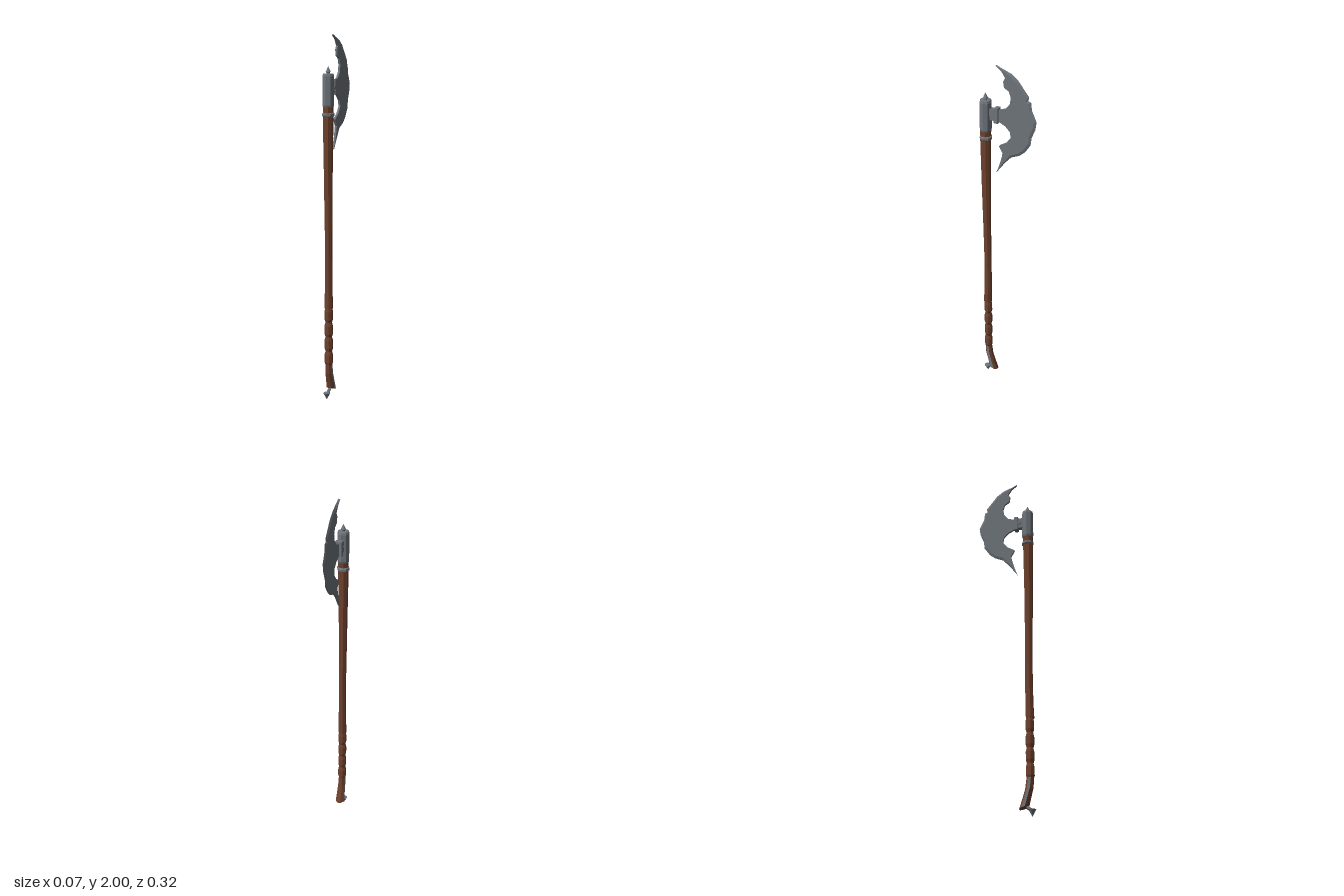
import * as THREE from 'three';

const metal = new THREE.MeshStandardMaterial({ color: 0x6e747b, flatShading: true });
metal.name = 'steel';
const wood = new THREE.MeshStandardMaterial({ color: 0x6e412d, flatShading: true });
wood.name = 'wood';
const AXIS = 0.128; // z of the shaft

function add(parent, name, geometry, material, x = 0, y = 0, z = 0) {
  const mesh = new THREE.Mesh(geometry, material);
  mesh.name = name;
  mesh.position.set(x, y, z);
  parent.add(mesh);
  return mesh;
}

// Closed eight-sided loft through rings [y, z, radiusX, radiusZ, slant], bottom to top.
// Faces looking sideways (+x and -x) go in material group 1, the rest in group 0.
function loft(rings) {
  const N = 8, main = [], sides = [];
  const point = ([y, z, rx, rz, slant = 0], i) => {
    const a = ((i + 0.5) / N) * Math.PI * 2;
    const dz = Math.sin(a) * rz * 1.08;
    return [Math.cos(a) * rx * 1.08, y + dz * slant, z + dz];
  };
  for (let r = 0; r < rings.length - 1; r++) {
    for (let i = 0; i < N; i++) {
      const a = point(rings[r], i), b = point(rings[r], i + 1);
      const c = point(rings[r + 1], i + 1), d = point(rings[r + 1], i);
      (i === 3 || i === 7 ? sides : main).push(...a, ...d, ...c, ...a, ...c, ...b);
    }
  }
  const first = rings[0], last = rings[rings.length - 1];
  for (let i = 0; i < N; i++) {
    main.push(0, first[0], first[1], ...point(first, i), ...point(first, i + 1));
    main.push(0, last[0], last[1], ...point(last, i + 1), ...point(last, i));
  }
  const g = new THREE.BufferGeometry();
  g.setAttribute('position', new THREE.Float32BufferAttribute([...main, ...sides], 3));
  g.addGroup(0, main.length / 3, 0);
  g.addGroup(main.length / 3, sides.length / 3, 1);
  g.computeVertexNormals();
  return g;
}

// Turned eight-sided piece from [radius, y] pairs
function turned(profile) {
  return new THREE.LatheGeometry(profile.map(([r, y]) => new THREE.Vector2(r, y)), 8);
}

function buildHandle(root) {
  const handle = new THREE.Group();
  handle.name = 'handle';
  root.add(handle);

  // Long, slightly bowed shaft
  add(handle, 'shaft', loft([
    [0.53, 0.130, 0.022, 0.021], [0.62, 0.127, 0.020, 0.020], [0.85, 0.126, 0.018, 0.019],
    [1.05, 0.128, 0.020, 0.020], [1.30, 0.130, 0.022, 0.023], [1.58, 0.130, 0.026, 0.027],
    [1.64, 0.129, 0.026, 0.027],
  ]), [wood, wood]);

  // Grip with four swellings
  const grip = [];
  for (let i = 0; i < 4; i++) {
    const y = 0.2 + i * 0.083;
    grip.push([y, AXIS, 0.017, 0.016], [y + 0.018, AXIS, 0.022, 0.021], [y + 0.062, AXIS, 0.022, 0.021]);
  }
  grip.push([0.532, AXIS, 0.018, 0.017]);
  add(handle, 'grip', loft(grip), [wood, wood]);

  // Bent foot with steel cheeks on both sides
  add(handle, 'foot', loft([
    [0.052, 0.094, 0.024, 0.025, 0.35], [0.10, 0.108, 0.022, 0.022, 0.3],
    [0.15, 0.122, 0.020, 0.020, 0.15], [0.21, AXIS, 0.018, 0.018],
  ]), [wood, metal]);

  // Small spike under the foot
  const spike = add(handle, 'footSpike', new THREE.ConeGeometry(0.02, 0.038, 8), metal, -0.008, 0.019, 0.139);
  spike.rotation.x = Math.PI;
  const stem = add(handle, 'spikeStem', new THREE.CylinderGeometry(0.009, 0.009, 0.035, 6), metal, -0.004, 0.043, 0.124);
  stem.rotation.x = -0.95;
}

function buildSocket(root) {
  const socket = new THREE.Group();
  socket.name = 'socket';
  socket.position.z = AXIS;
  root.add(socket);
  add(socket, 'sleeve', turned([[0, 1.63], [0.030, 1.63], [0.033, 1.64], [0.033, 1.79], [0.029, 1.802], [0, 1.804]]), metal);
  add(socket, 'topSpike', turned([[0.009, 1.80], [0.009, 1.808], [0.014, 1.812], [0, 1.842]]), metal);
  add(socket, 'collarRing', turned([[0.026, 1.578], [0.034, 1.584], [0.034, 1.596], [0.026, 1.603]]), metal);

  // Mount joining the sleeve to the blade
  add(socket, 'mountNeck', new THREE.BoxGeometry(0.026, 0.062, 0.045), metal, 0, 1.73, -0.040);
  add(socket, 'mountBlock', new THREE.BoxGeometry(0.036, 0.082, 0.022), metal, 0, 1.73, -0.066);
  for (const s of [-1, 1]) {
    const rivet = add(socket, 'mountRivet', new THREE.CylinderGeometry(0.009, 0.009, 0.008, 8), metal, s * 0.015, 1.73, -0.047);
    rivet.rotation.z = Math.PI / 2;
  }
}

function buildBlade(root) {
  const blade = new THREE.Group();
  blade.name = 'blade';
  blade.rotation.y = Math.PI / 2; // outline x runs towards the back
  root.add(blade);
  const T = 0.006; // half thickness

  // Cutting edge, upper horn to lower horn
  const outer = [
    [-0.066, 2.0], [-0.024, 1.987], [0.019, 1.971], [0.056, 1.944], [0.098, 1.891], [0.119, 1.865],
    [0.114, 1.844], [0.130, 1.838], [0.135, 1.796], [0.162, 1.737], [0.156, 1.695], [0.135, 1.642],
    [0.130, 1.600], [0.098, 1.552], [0.066, 1.525], [0.019, 1.504], [-0.019, 1.462], [-0.066, 1.398],
  ];
  // Back of the blade, lower horn to upper horn
  const inner = [
    [-0.050, 1.44], [-0.034, 1.493], [-0.029, 1.52], [-0.050, 1.557], [-0.040, 1.565], [-0.008, 1.584],
    [0.019, 1.621], [0.013, 1.653], [-0.013, 1.679], [-0.058, 1.70], [-0.058, 1.759], [-0.013, 1.775],
    [0.013, 1.806], [0.019, 1.844], [0.008, 1.875], [-0.019, 1.891], [-0.024, 1.923], [-0.013, 1.944],
    [-0.034, 1.976],
  ];
  // Start of the bevel, drawn in towards the mount
  const inset = outer.map(([x, y], i) => {
    const d = 0.007 * Math.min(i, outer.length - 1 - i, 2);
    const dx = -0.07 - x, dy = 1.7 - y, l = Math.hypot(dx, dy);
    return [x + (dx / l) * d, y + (dy / l) * d];
  });
  const shape = new THREE.Shape([...inset, ...inner].map(([x, y]) => new THREE.Vector2(x, y)));
  add(blade, 'bladePlate', new THREE.ExtrudeGeometry(shape, { depth: 2 * T, bevelEnabled: false }), metal, 0, 0, -T);

  // Bevel from both faces to a sharp edge
  const pos = [];
  for (let i = 0; i < outer.length - 1; i++) {
    const a = [...outer[i], 0], b = [...outer[i + 1], 0];
    for (const s of [1, -1]) {
      const c = [...inset[i + 1], s * T], d = [...inset[i], s * T];
      if (s > 0) pos.push(...a, ...d, ...c, ...a, ...c, ...b);
      else pos.push(...a, ...c, ...d, ...a, ...b, ...c);
    }
  }
  const bevel = new THREE.BufferGeometry();
  bevel.setAttribute('position', new THREE.Float32BufferAttribute(pos, 3));
  bevel.computeVertexNormals();
  add(blade, 'cuttingEdge', bevel, metal);
}

export function createModel() {
  const root = new THREE.Group();
  root.name = 'battleAxe';
  buildHandle(root);
  buildSocket(root);
  buildBlade(root);
  return root;
}
